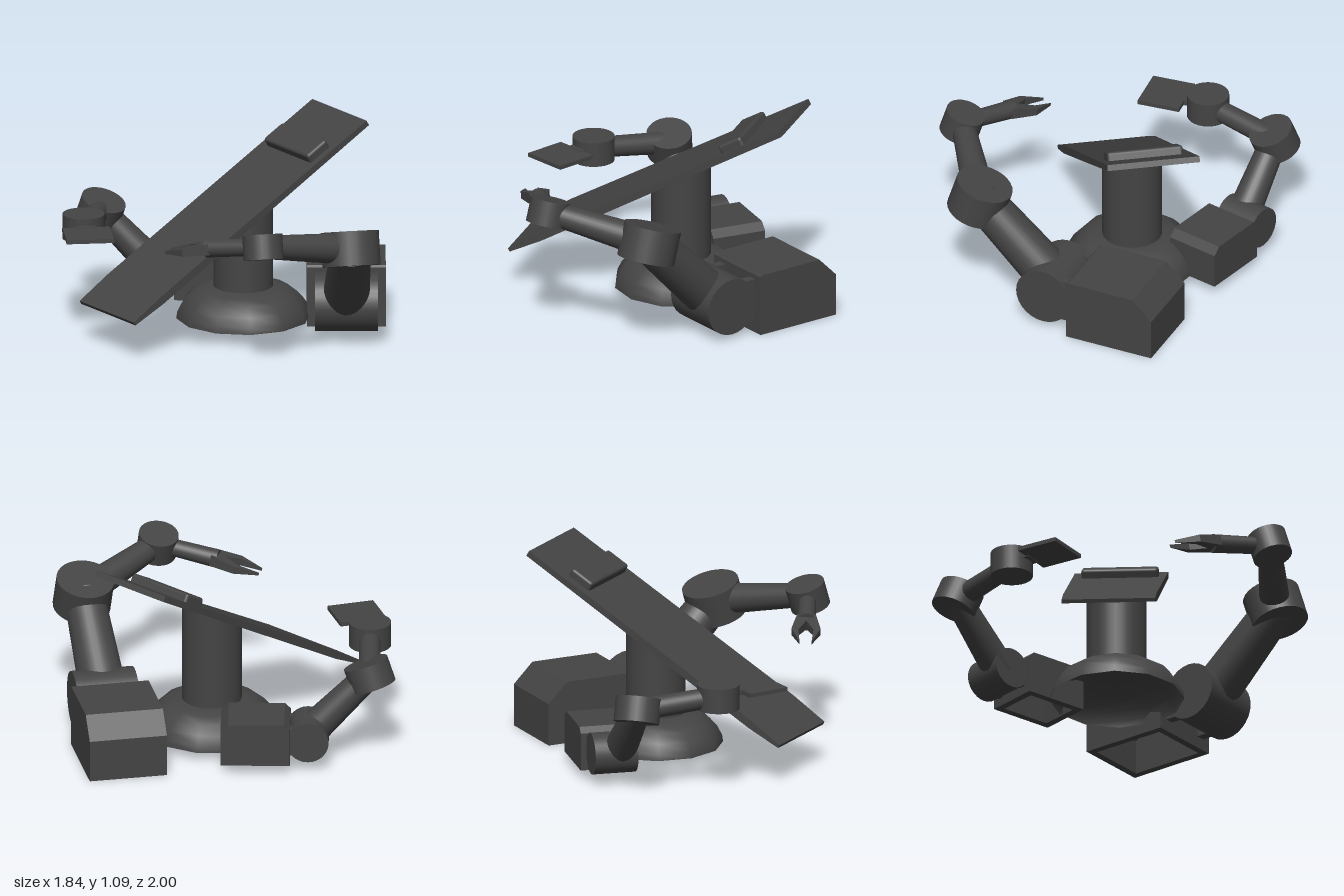
import * as THREE from 'three';
import { RoundedBoxGeometry } from 'three/addons/geometries/RoundedBoxGeometry.js';

const mat = new THREE.MeshStandardMaterial({ color: 0x444444, side: THREE.DoubleSide });
const V = (x, y, z) => new THREE.Vector3(x, y, z);
const UP = V(0, 1, 0);

function add(parent, name, geometry, x = 0, y = 0, z = 0) {
  const mesh = new THREE.Mesh(geometry, mat);
  mesh.name = name;
  mesh.position.set(x, y, z);
  parent.add(mesh);
  return mesh;
}

// tapered round bar between two points
function limb(parent, name, a, b, ra, rb) {
  const dir = b.clone().sub(a);
  const mesh = add(parent, name, new THREE.CylinderGeometry(rb, ra, dir.length(), 28));
  mesh.position.copy(a).addScaledVector(dir, 0.5);
  mesh.quaternion.setFromUnitVectors(UP, dir.normalize());
}

// drum-shaped joint around an axis
function joint(parent, name, c, axis, r, h) {
  const half = axis.clone().normalize().multiplyScalar(h / 2);
  limb(parent, name, c.clone().sub(half), c.clone().add(half), r, r);
}

// side profile (points are [along, up]) given a width across x, running along +z
function sideExtrude(points, width) {
  const g = new THREE.ExtrudeGeometry(
    new THREE.Shape(points.map(p => new THREE.Vector2(...p))), { depth: width, bevelEnabled: false });
  g.translate(0, 0, -width / 2);
  return g.rotateY(-Math.PI / 2);
}

// motor housing, open below, with a horizontal drum in front of it (+z of the group)
function shoulder(parent, name, o) {
  const g = new THREE.Group();
  g.name = name;
  g.position.set(o.x, 0, o.z);
  g.rotation.y = o.turn;
  parent.add(g);
  const t = 0.04;
  const outline = inset => {
    const d = o.d / 2 - inset, top = o.y0 + o.h - inset;
    return [[-d, o.y0], [-d, top - o.back], [-d + o.back, top],
      [d - o.front, top], [d, top - o.front], [d, o.y0]];
  };
  add(g, 'housingShell', sideExtrude([...outline(0), ...outline(t).reverse()], o.w));
  for (const s of [-1, 1])
    add(g, 'housingSide', sideExtrude(outline(0), t), s * (o.w - t) / 2);
  joint(g, 'shoulderDrum', V(0, o.drumY, o.reach), V(1, 0, 0), o.drumR, o.drumL);
  const len = o.reach - o.d / 2 + t;
  for (const [x, w, h] of o.links)
    add(g, 'link', new THREE.BoxGeometry(w, h, len), x, o.drumY, o.reach - len / 2);
}

export function createModel() {
  const model = new THREE.Group();
  model.name = 'operatingTableWithArms';

  // domed foot, hollow below
  const foot = [[0.36, 0.05], [0.355, 0.085], [0.33, 0.135],
    [0.29, 0.18], [0.24, 0.21], [0.17, 0.225], [0, 0.235]];
  add(model, 'foot', new THREE.LatheGeometry(foot.map(p => new THREE.Vector2(...p)), 12), 0.03, 0, -0.03);

  // column, its top cut to the slope of the table
  const col = new THREE.CylinderGeometry(0.16, 0.16, 1, 32);
  const pos = col.attributes.position;
  for (let i = 0; i < pos.count; i++)
    pos.setY(i, pos.getY(i) > 0 ? 0.69 + 0.5625 * (pos.getX(i) + 0.03) : 0.215);
  add(model, 'column', col, 0.03, 0, -0.03);

  // tilted table top with a thinned lower end, and its headrest
  const table = new THREE.Group();
  table.name = 'table';
  table.position.set(-0.09, 0.65, -0.035);
  table.rotation.set(0, -0.016, 0.512, 'YZX');
  model.add(table);
  const board = sideExtrude([[-0.88, -0.012], [-0.68, -0.025], [0.87, -0.018],
    [0.87, 0.014], [-0.66, 0.02], [-0.88, 0.008]], 0.5).rotateY(Math.PI / 2);
  add(table, 'tableTop', board);
  add(table, 'headrest', new RoundedBoxGeometry(0.145, 0.07, 0.41, 3, 0.016), 0.557, 0.028, 0.005);

  // front arm: shoulder, elbow, wrist and gripper
  const front = new THREE.Group();
  front.name = 'frontArm';
  model.add(front);
  shoulder(front, 'frontShoulder', {
    x: 0.603, z: 0.118, turn: -0.63, w: 0.42, d: 0.5, y0: 0, h: 0.34, back: 0.11, front: 0.01,
    reach: 0.408, drumY: 0.185, drumR: 0.157, drumL: 0.336,
    links: [[-0.135, 0.05, 0.24], [0.135, 0.05, 0.24], [0, 0.26, 0.1]],
  });
  const elbow = V(0.12, 0.61, 0.815), wrist = V(-0.45, 0.715, 0.8), palm = V(-0.6, 0.665, 0.5);
  const lean = V(0.13, 0.95, -0.27);
  limb(front, 'upperArm', V(0.355, 0.185, 0.45), elbow, 0.128, 0.108);
  joint(front, 'elbow', elbow, lean, 0.155, 0.185);
  limb(front, 'forearm', elbow, wrist, 0.086, 0.062);
  joint(front, 'wrist', wrist, lean, 0.107, 0.135);
  limb(front, 'hand', wrist, palm, 0.045, 0.05);

  // gripper: two bent pointed fingers
  const gripper = new THREE.Group();
  gripper.name = 'gripper';
  gripper.position.copy(palm);
  gripper.lookAt(palm.clone().add(V(-0.11, -0.05, -0.22)));
  front.add(gripper);
  for (const s of [-1, 1]) {
    const shape = new THREE.Shape([[0, -0.05], [0.05, -0.03], [0.078, 0.11], [0.032, 0.24],
      [0.04, 0.12], [0, 0.035]].map(([x, y]) => new THREE.Vector2(s * x, y)));
    const g = new THREE.ExtrudeGeometry(shape, { depth: 0.06, bevelEnabled: false });
    g.translate(0, 0, -0.03).rotateX(Math.PI / 2);
    // fingers thin out towards the tip
    const p = g.attributes.position;
    for (let i = 0; i < p.count; i++) p.setY(i, p.getY(i) * (1 - 3 * Math.max(0, p.getZ(i))));
    g.computeVertexNormals();
    add(gripper, 'finger', g);
  }

  // rear arm: smaller shoulder, elbow, wrist and flat pad
  const rear = new THREE.Group();
  rear.name = 'rearArm';
  model.add(rear);
  shoulder(rear, 'rearShoulder', {
    x: 0.145, z: -0.45, turn: Math.PI + 0.72, w: 0.3, d: 0.37, y0: 0.05, h: 0.235, back: 0.04, front: 0.03,
    reach: 0.28, drumY: 0.17, drumR: 0.112, drumL: 0.235,
    links: [[0, 0.1, 0.07], [-0.09, 0.04, 0.15], [0.09, 0.04, 0.15]],
  });
  const rearElbow = V(-0.3, 0.495, -0.868), rearWrist = V(-0.63, 0.54, -0.57);
  limb(rear, 'upperArm', V(-0.07, 0.17, -0.645), rearElbow, 0.09, 0.072);
  joint(rear, 'elbow', rearElbow, V(0.08, 0.9, 0.35), 0.122, 0.135);
  limb(rear, 'forearm', rearElbow, rearWrist, 0.06, 0.055);
  joint(rear, 'wrist', rearWrist, UP, 0.113, 0.135);

  const pad = new THREE.Group();
  pad.name = 'pad';
  pad.position.set(-0.75, 0.555, -0.365);
  pad.rotation.y = -0.53;
  rear.add(pad);
  add(pad, 'plate', new THREE.BoxGeometry(0.255, 0.022, 0.235));
  add(pad, 'padMount', new THREE.BoxGeometry(0.1, 0.03, 0.12), 0, 0, -0.16);

  return model;
}
